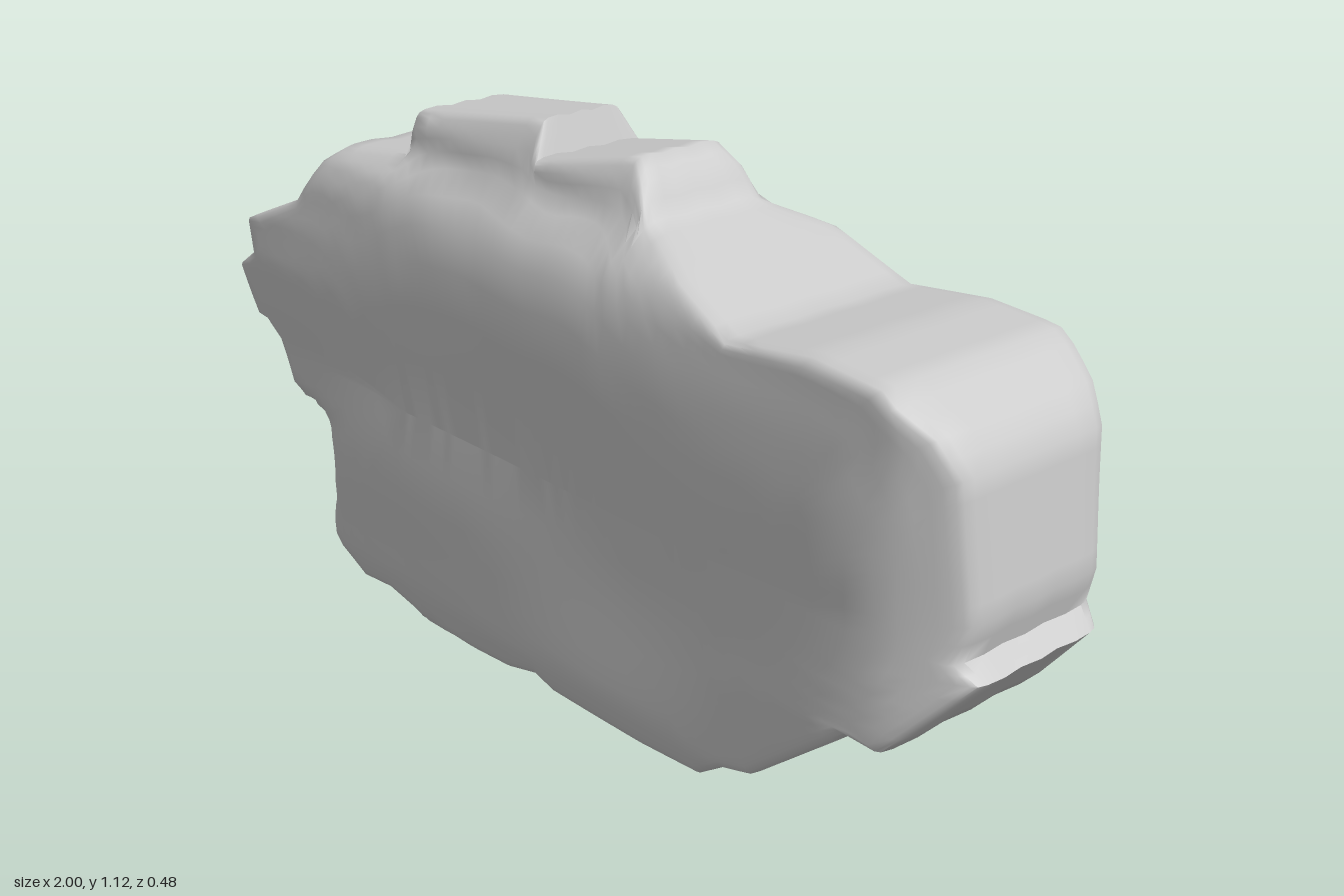
import * as THREE from 'three';
import { toCreasedNormals } from 'three/addons/utils/BufferGeometryUtils.js';

// silhouette of the slab, clockwise from the left tip
const OUTLINE = [
  [-1, .67], [-.94, .71], [-.96, .78], [-.78, .855], [-.71, .95], [-.67, .98], [-.48, 1], [-.475, 1.08],
  [-.12, 1.125], [-.1, 1.06], [.14, 1.105], [.175, 1.07], [.21, 1.01], [.32, .97], [.5, .9], [.68, .92],
  [.83, .91], [.92, .85], [.96, .79], [.985, .55], [.965, .48], [1, .45], [.87, .3], [.81, .31],
  [.59, .13], [.52, .11], [.45, .06], [.3, .05], [.05, .05], [0, .07], [-.1, .04], [-.3, .02],
  [-.35, 0], [-.42, .04], [-.5, .06], [-.6, .05], [-.67, .1], [-.72, .17], [-.76, .33], [-.75, .375],
  [-.8, .38], [-.87, .53], [-.92, .57], [-.95, .57],
];

// half thickness of the rock: narrow crest, rounded right end, recessed notch
const CREST = {
  front: [[0, .17], [.04, .215], [.12, .236], [.3, .236], [.52, .228], [.7, .238], [.8, .236], [.9, .222], [.95, .198], [1, .138], [1.05, .128], [1.085, .108], [1.12, .09]],
  back: [[.02, .18], [.12, .236], [.3, .236], [.52, .229], [.72, .238], [.86, .236], [.96, .225], [1, .14], [1.05, .128], [1.085, .108], [1.12, .09]],
};
const RIGHT_END = [[.74, .24], [.86, .22], [.93, .188], [1, .148]];
const NOTCH = [[-.76, .14], [-.72, .19], [-.66, .24]];

// piecewise linear lookup through [input, output] pairs
function lookup(pairs, t) {
  if (t <= pairs[0][0]) return pairs[0][1];
  for (let i = 1; i < pairs.length; i++) {
    const [a, va] = pairs[i - 1], [b, vb] = pairs[i];
    if (t <= b) return va + (vb - va) * (t - a) / (b - a);
  }
  return pairs[pairs.length - 1][1];
}

function halfDepth(x, y, side) {
  let w = Math.min(lookup(CREST[side], y), lookup(RIGHT_END, x));
  // the recess fades out above the notch and towards the base
  const fade = THREE.MathUtils.smoothstep(y, .36, .44) + 1 - THREE.MathUtils.smoothstep(y, .08, .25);
  if (x < -.6) w = Math.min(w, THREE.MathUtils.lerp(lookup(NOTCH, x), .24, Math.min(1, fade)));
  const relief = .003 * Math.sin(x * 5 + y * 9) + .002 * Math.sin(y * 17 - x * 4);
  return w + relief * (side === 'front' ? 1 : -1);
}

// split long outline edges so that the surface follows the profile
function denseOutline(step) {
  const pts = [];
  OUTLINE.forEach(([x, y], i) => {
    const [nx, ny] = OUTLINE[(i + 1) % OUTLINE.length];
    const n = Math.ceil(Math.hypot(nx - x, ny - y) / step);
    for (let k = 0; k < n; k++) pts.push([x + (nx - x) * k / n, y + (ny - y) * k / n]);
  });
  return pts;
}

// moving average, used to soften the outline away from the rim
function softened(pts, reach) {
  return pts.map((_, i) => {
    const sum = [0, 0];
    for (let k = -reach; k <= reach; k++) {
      const p = pts[(i + k + pts.length) % pts.length];
      sum[0] += p[0];
      sum[1] += p[1];
    }
    return sum.map(v => v / (2 * reach + 1));
  });
}

function rockGeometry() {
  const rim = denseOutline(.04), soft = softened(rim, 3), n = rim.length;
  const faceScales = [0, .2, .4, .55, .67, .76, .83, .88, .92, .95];
  const wall = [[.975, .99], [.988, .96], [.996, .86], [1, .6], [.993, .3]];
  // rings from the middle of the front, over the rim, to the middle of the back
  const half = [...faceScales.map(s => [s, 1]), ...wall];
  const rows = [
    ...half.map(([s, f]) => ({ s, f, side: 'front' })),
    { s: 1, f: 0, side: 'front' },
    ...half.map(([s, f]) => ({ s, f, side: 'back' })).reverse(),
  ];
  const positions = [], index = [];
  rows.forEach(({ s, f, side }, r) => {
    const blend = 1 - THREE.MathUtils.smoothstep(s, .82, .985);
    for (let i = 0; i < n; i++) {
      const px = THREE.MathUtils.lerp(rim[i][0], soft[i][0], blend);
      const py = THREE.MathUtils.lerp(rim[i][1], soft[i][1], blend);
      // every ring shrinks towards a short horizontal spine
      const cx = THREE.MathUtils.clamp(px, -.5, .5) * .8, cy = .5;
      const x = cx + (px - cx) * s, y = cy + (py - cy) * s;
      positions.push(x, y, halfDepth(x, y, side) * f * (side === 'front' ? 1 : -1));
      if (r === rows.length - 1) continue;
      const a = r * n + i, b = r * n + (i + 1) % n;
      index.push(a, b, a + n, b, b + n, a + n);
    }
  });
  const geometry = new THREE.BufferGeometry();
  geometry.setAttribute('position', new THREE.Float32BufferAttribute(positions, 3));
  geometry.setIndex(index);
  return toCreasedNormals(geometry, 1.1);
}

export function createModel() {
  const group = new THREE.Group();
  group.name = 'rock';
  const slab = new THREE.Mesh(rockGeometry(), new THREE.MeshStandardMaterial({ color: 0xcccccc }));
  slab.name = 'rockSlab';
  group.add(slab);
  return group;
}
